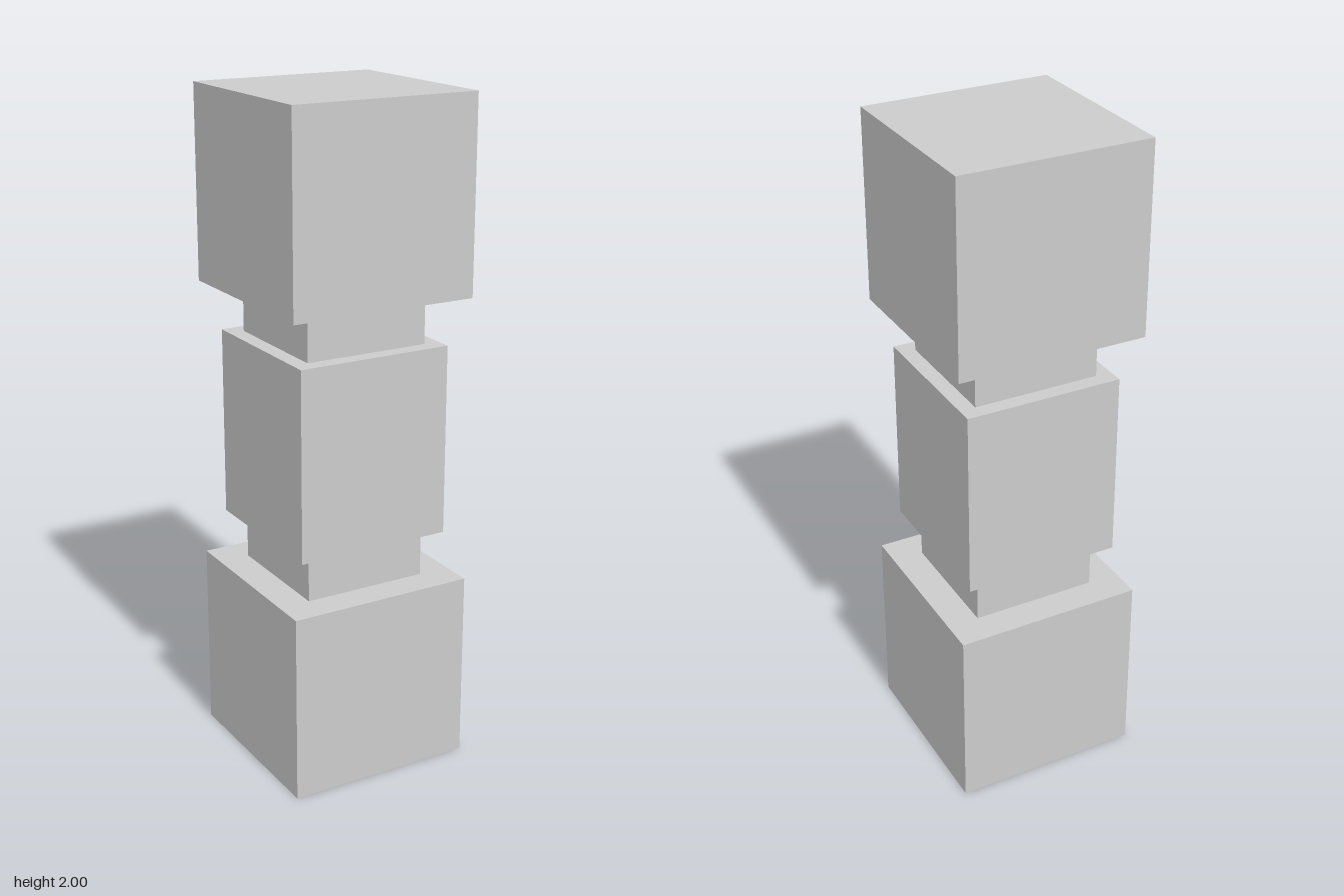
import * as THREE from 'three';

export function createModel() {
  const group = new THREE.Group();
  const material = new THREE.MeshStandardMaterial({ color: 0xcccccc, flatShading: true });
  const unit = 1 / 7;

  // Square blocks stacked from the ground up: name, width, height
  const blocks = [
    ['baseBlock', 4 * unit, 4 * unit],
    ['lowerNeck', 8 / 3 * unit, unit],
    ['middleBlock', 10 / 3 * unit, 4 * unit],
    ['upperNeck', 8 / 3 * unit, unit],
    ['topBlock', 4 * unit, 4 * unit],
  ];

  let y = 0;
  for (const [name, width, height] of blocks) {
    const block = new THREE.Mesh(new THREE.BoxGeometry(width, height, width), material);
    block.name = name;
    block.position.y = y + height / 2;
    group.add(block);
    y += height;
  }
  return group;
}
